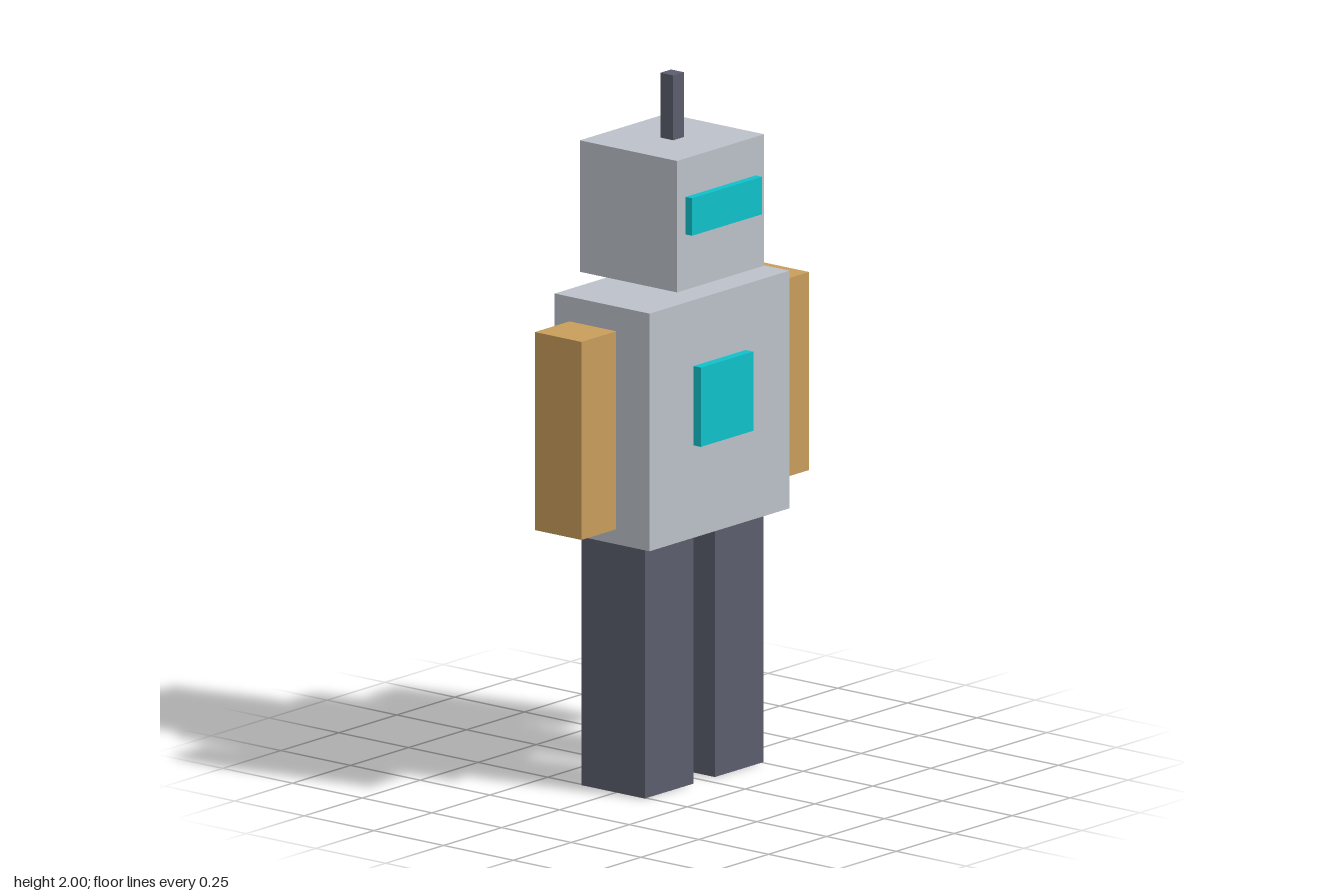
import * as THREE from 'three';

const material = (name, color) => {
  const m = new THREE.MeshStandardMaterial({ color });
  m.name = name;
  return m;
};

export function createModel() {
  const shell = material('light grey shell', 0xbcc1c9);
  const dark = material('dark grey', 0x5b5e6d);
  const tan = material('tan', 0xc89d5b);
  const cyan = material('cyan', 0x0fc1ca);

  const model = new THREE.Group();
  model.name = 'robot';

  // Box given by its extents along each axis
  const box = (name, mat, [x0, x1], [y0, y1], [z0, z1]) => {
    const mesh = new THREE.Mesh(new THREE.BoxGeometry(x1 - x0, y1 - y0, z1 - z0), mat);
    mesh.position.set((x0 + x1) / 2, (y0 + y1) / 2, (z0 + z1) / 2);
    mesh.name = name;
    model.add(mesh);
  };

  // Body and head
  box('torso', shell, [-0.302, 0.302], [0.724, 1.402], [-0.182, 0.158]);
  box('head', shell, [-0.188, 0.188], [1.44, 1.815], [-0.187, 0.162]);
  box('antenna', dark, [-0.023, 0.023], [1.815, 2], [-0.035, 0.011]);

  // Raised panels on the front
  box('visor', cyan, [-0.151, 0.151], [1.598, 1.705], [0.15, 0.185]);
  box('chestPanel', cyan, [-0.113, 0.113], [0.988, 1.214], [0.146, 0.185]);

  // Mirrored limbs
  for (const [side, s] of [['left', 1], ['right', -1]]) {
    const span = (a, b) => (s > 0 ? [a, b] : [-b, -a]);
    box(`${side}Arm`, tan, span(0.341, 0.491), [0.78, 1.345], [-0.096, 0.071]);
    box(`${side}Leg`, dark, span(0.046, 0.256), [0, 0.724], [-0.124, 0.103]);
  }

  return model;
}
